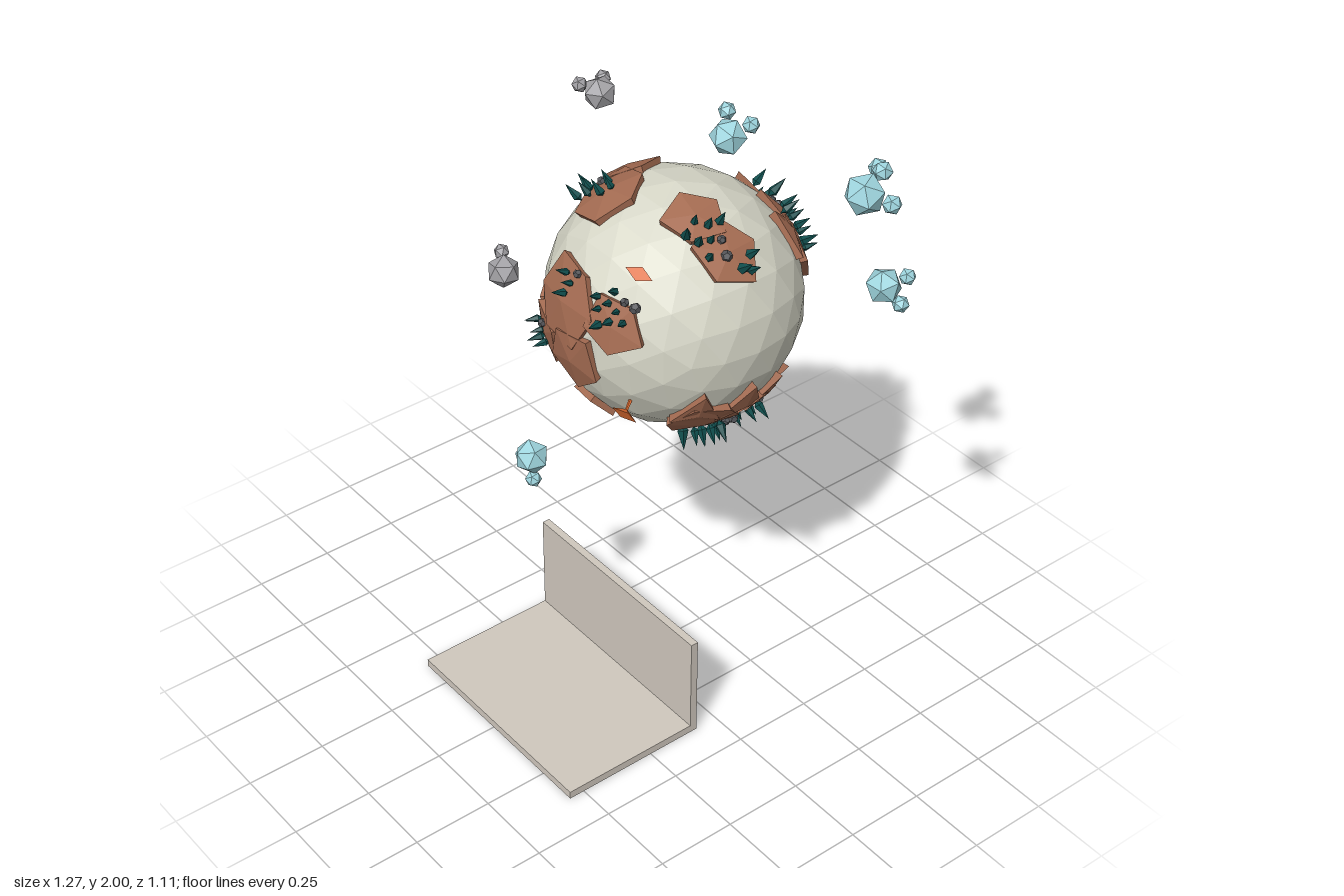
import * as THREE from 'three';

const R = 0.372; // globe radius
const LAND = 0.39; // land surface radius
const UP = new THREE.Vector3(0, 1, 0);
const OUT = new THREE.Vector3(0, 0, 1);

const mat = (color) => new THREE.MeshStandardMaterial({ color, flatShading: true });

function addMesh(parent, name, geometry, material, pos = [0, 0, 0]) {
  const m = new THREE.Mesh(geometry, material);
  m.name = name;
  m.position.set(...pos);
  parent.add(m);
  return m;
}

// Turn from +z to the spot at offsets u (across), v (up) on one side of the globe
function turnTo([azimuth, elevation], u, v) {
  const spot = new THREE.Vector3(u, v, Math.sqrt(Math.max(0, LAND * LAND - u * u - v * v))).normalize();
  const side = new THREE.Euler(-elevation * Math.PI / 180, azimuth * Math.PI / 180, 0, 'YXZ');
  return new THREE.Quaternion().setFromEuler(side)
    .multiply(new THREE.Quaternion().setFromUnitVectors(OUT, spot));
}

// Slightly irregular raised slab: fan on top, walls down into the globe
function slabGeometry(size, sides, spin) {
  const at = (i, r) => {
    const k = i % sides;
    const a = spin * Math.PI / 180 + k * 2 * Math.PI / sides;
    const d = size * (1 + 0.1 * Math.sin(k * 4 + spin));
    return new THREE.Vector3(d * Math.cos(a), d * Math.sin(a), LAND).setLength(r);
  };
  const points = [];
  for (let i = 0; i < sides; i++) {
    const a = at(i, LAND), b = at(i + 1, LAND), a0 = at(i, 0.355), b0 = at(i + 1, 0.355);
    points.push(new THREE.Vector3(0, 0, LAND), a, b, a, a0, b0, a, b0, b);
  }
  const g = new THREE.BufferGeometry().setFromPoints(points);
  g.computeVertexNormals();
  return g;
}

export function createModel() {
  const root = new THREE.Group();
  root.name = 'floatingGlobe';
  const stone = mat(0xd0c8be), land = mat(0xa56c52), leaf = mat(0x11504f);
  const flower = mat(0xdb6a30), darkRock = mat(0x55565a);
  const blue = mat(0x9fd6df), grey = mat(0xa3a2a6);

  // L-shaped stand
  addMesh(root, 'standBase', new THREE.BoxGeometry(0.73, 0.025, 0.475), stone, [0.017, 0.0125, 0.3125]);
  addMesh(root, 'standBack', new THREE.BoxGeometry(0.73, 0.32, 0.024), stone, [0.017, 0.185, 0.087]);

  // Globe
  const globe = new THREE.Group();
  globe.name = 'globe';
  globe.position.set(0.024, 1.31, -0.115);
  root.add(globe);
  addMesh(globe, 'ocean', new THREE.IcosahedronGeometry(R, 3), mat(0xd8d8c9));

  // Stands an item on the globe, pointing outwards
  const plant = (name, geometry, material, turn, radius, scale, spin) => {
    const dir = OUT.clone().applyQuaternion(turn);
    const m = addMesh(globe, name, geometry, material, dir.clone().multiplyScalar(radius).toArray());
    m.quaternion.setFromUnitVectors(UP, dir);
    m.rotateY(spin);
    m.scale.setScalar(scale);
  };

  const treeShape = new THREE.LatheGeometry(
    [[0, 0], [0.004, 0.008], [0.0135, 0.018], [0.009, 0.035], [0, 0.065]].map((p) => new THREE.Vector2(...p)), 5);
  const rockShape = new THREE.DodecahedronGeometry(0.014, 0);

  // Land mass. Slabs: u, v, size, sides, spin. Groves: u, v, spread, count, tree size
  const landMass = (name, side, slabs, groves) => {
    for (const [u, v, size, sides, spin] of slabs) {
      addMesh(globe, name, slabGeometry(size, sides, spin), land).quaternion.copy(turnTo(side, u, v));
    }
    for (const [u, v, spread, count, size] of groves) {
      for (let i = 0; i < count; i++) {
        const a = i * 2.4, d = spread * Math.sqrt((i + 0.4) / count);
        const turn = turnTo(side, u + d * Math.cos(a), v + d * Math.sin(a));
        if (i % 5 === 3) plant('landRock', rockShape, darkRock, turn, LAND, 0.8 + 0.05 * i, a);
        else plant('tree', treeShape, leaf, turn, LAND - 0.012, size * (0.85 + 0.1 * (i % 4)), a);
      }
    }
  };
  const FRONT = [0, 0], RIGHT = [90, 0], TOP = [0, 90], BACK = [180, 0], BACK_LEFT = [225, 20];

  landMass('frontLand', FRONT,
    [[-.04, .11, .135, 6, 0], [.15, .11, .095, 5, 55], [.015, -.06, .11, 5, 270], [-.135, -.055, .09, 4, 35]],
    [[.14, .155, .06, 10, .9], [-.03, .17, .04, 4, .9], [-.16, -.05, .05, 6, .9]]);
  landMass('lowerFrontLand', FRONT, [[-.03, -.28, .08, 5, 270], [-.325, -.1, .105, 5, 110]], []);
  landMass('topLeftLand', TOP,
    [[-.215, 0, .1, 5, 60], [-.13, -.14, .12, 6, 0]],
    [[-.215, -.14, .05, 6, 1], [-.125, -.135, .03, 3, 1]]);
  landMass('topRightLand', TOP,
    [[.15, -.05, .095, 5, 100], [.265, -.025, .105, 5, 20]],
    [[.21, -.06, .065, 9, 1], [.3, .01, .03, 3, 1.2]]);
  landMass('backLand', BACK,
    [[.05, .06, .11, 5, 90], [.04, .2, .11, 3, 90], [-.13, .12, .125, 6, 0],
      [-.1, .22, .1, 3, 90], [-.19, .2, .09, 3, 90], [-.02, 0, .09, 5, 270]],
    [[-.08, .15, .11, 16, 1], [.05, .15, .09, 8, 1]]);
  landMass('lowerRightLand', RIGHT,
    [[-.11, -.26, .12, 6, 0], [.08, -.29, .115, 6, 0], [-.155, -.19, .09, 3, 90],
      [-.005, -.21, .1, 3, 90], [.11, -.23, .09, 3, 90], [.19, -.26, .08, 3, 90]],
    [[-.05, -.31, .06, 9, 1.1], [.09, -.31, .06, 8, 1]]);
  landMass('backLeftLand', BACK_LEFT,
    [[.13, -.1, .135, 3, 10], [.09, -.29, .09, 4, 40]],
    [[.1, -.1, .03, 4, 1.4], [.09, -.29, .04, 4, 1]]);

  // Orange flowers: stem with a boat-shaped cup
  const stemShape = new THREE.CylinderGeometry(0.004, 0.006, 0.045, 5).translate(0, 0.0225, 0);
  const cupShape = new THREE.ConeGeometry(0.042, 0.02, 4).rotateX(Math.PI).scale(1, 1, 0.5).translate(0, 0.045, 0);
  for (const [u, v, spin] of [[.165, .25, .3], [.18, -.155, -.2], [-.24, -.28, .9]]) {
    plant('flowerStem', stemShape, flower, turnTo(FRONT, u, v), R - 0.01, 1, spin);
    plant('flowerCup', cupShape, flower, turnTo(FRONT, u, v), R - 0.01, 1, spin);
  }

  // Floating rock with half-size pebbles touching it in the given directions
  const floater = (name, material, pos, r, pebbles) => {
    const group = new THREE.Group();
    group.name = name;
    group.position.set(...pos);
    root.add(group);
    addMesh(group, 'mainRock', new THREE.IcosahedronGeometry(r, 0), material).rotation.set(pos[0] * 5, pos[1], 0);
    pebbles.forEach((p, i) => {
      const offset = new THREE.Vector3(...p).setLength(r * 1.3).toArray();
      addMesh(group, 'pebble', new THREE.IcosahedronGeometry(r * 0.48, 0), material, offset).rotation.set(i, i * 0.7, 0);
    });
  };
  floater('blueRockTop', blue, [.23, 1.915, -.125], .053, [[-3, 6, -2], [3, 3, -5]]);
  floater('blueRockBack', blue, [.413, 1.695, -.462], .062, [[-1, 5, -5], [4, -2, -4], [1, 4, -3]]);
  floater('blueRockSide', blue, [.565, 1.5, -.407], .053, [[4, -4, -2], [3, 2, -6]]);
  floater('blueRockLow', blue, [-.103, .85, .307], .053, [[-5, -3, -1], [2, -7, 1]]);
  floater('greyRockHigh', grey, [-.466, 1.7, -.23], .052, [[-4, 1, -4], [-7, 1, 3]]);
  floater('greyRockLow', grey, [-.565, 1.15, .062], .052, [[-5, 3, -3], [-4, -6, -2]]);
  return root;
}
